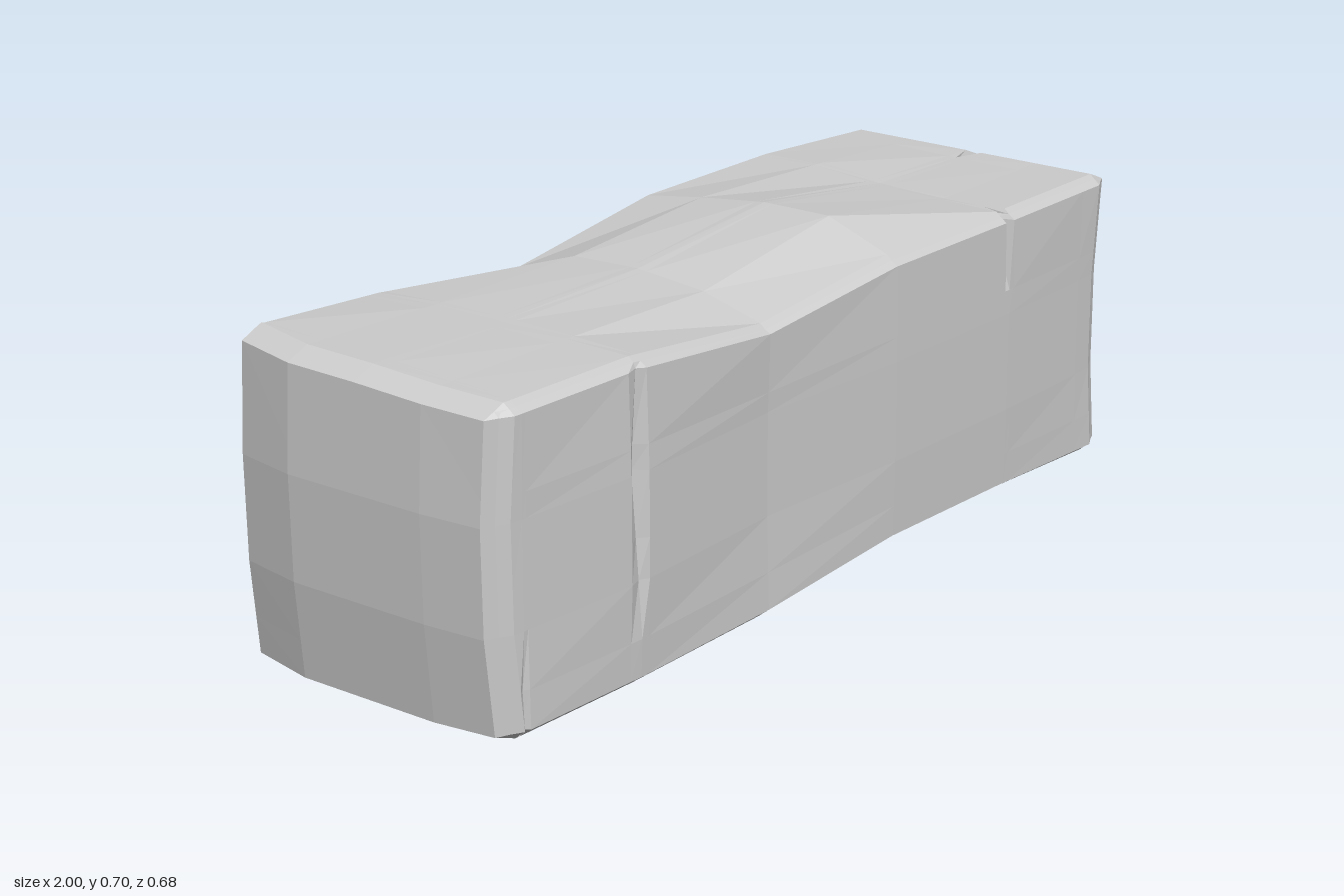
import * as THREE from 'three';

// Lattice lines of the block; thin extra lines carry the cracks
const LINES = [
  [-1, -0.95, -0.91, -0.9, -0.63, -0.6, -0.58, -0.2, 0.2, 0.585, 0.6, 0.615, 0.88, 0.95, 1],
  [0, 0.02, 0.1, 0.22, 0.3, 0.43, 0.48, 0.625, 0.645],
  [-0.325, -0.3, -0.16, -0.02, 0, 0.02, 0.16, 0.3, 0.325],
];
const CHAMFER = [0.05, 0.02, 0.028];

// Piecewise linear profile through [position, value] pairs
function profile(pairs, t) {
  if (t <= pairs[0][0]) return pairs[0][1];
  for (let i = 1; i < pairs.length; i++) {
    const [a, u] = pairs[i - 1], [b, v] = pairs[i];
    if (t <= b) return u + (v - u) * (t - a) / (b - a);
  }
  return pairs[pairs.length - 1][1];
}
const STATIONS = [-0.95, -0.6, -0.2, 0.2, 0.6, 0.95];
const along = (values, x) => profile(STATIONS.map((s, i) => [s, values[i]]), x);

// Height offset of top and bottom, blended between back, centre and front rows
function topOffset(x, z) {
  return profile([
    [-0.3, along([0.022, 0, -0.045, 0.015, 0.018, 0], x)],
    [-0.16, along([0.015, 0.005, 0.005, 0.035, 0.02, 0], x)],
    [0, along([0.012, 0.005, 0.01, 0.053, 0.005, 0], x)],
    [0.16, along([0.005, 0.003, -0.005, 0.053, 0, 0], x)],
    [0.3, along([0, 0, -0.042, 0, 0, 0], x)],
  ], z);
}
function bottomOffset(x, z) {
  return profile([
    [-0.3, along([0.01, 0.01, 0.01, 0.03, 0.008, 0.012], x)],
    [-0.16, along([0.005, 0.005, 0.005, 0.03, 0, 0.015], x)],
    [0.16, along([0.005, 0.005, 0.005, 0.03, 0, 0.04], x)],
    [0.3, along([0.01, 0.01, 0.01, 0.045, 0.04, 0.025], x)],
  ], z);
}

// Turns a lattice point into a point of the worn stone
function stonePoint(index) {
  const base = index.map((n, a) => LINES[a][n]);
  const p = base.slice();
  const ends = index.map((n, a) => (n === 0 ? -1 : n === LINES[a].length - 1 ? 1 : 0));
  const [x, y, z] = base;

  // Chamfered edges and corners
  const count = ends.filter((e) => e !== 0).length;
  if (count > 1) {
    const cut = count === 2 ? 0.5 : 2 / 3;
    ends.forEach((e, a) => { p[a] -= e * CHAMFER[a] * cut; });
  }

  // Wavy top and underside
  p[1] += topOffset(x, z) * Math.max(0, (y - 0.43) / 0.215);
  p[1] += bottomOffset(x, z) * Math.max(0, (0.22 - y) / 0.22);

  // Swollen front and back
  const belly = profile([[0, 0], [0.22, 1], [0.43, 1], [0.645, 0]], y);
  if (z >= 0.3) p[2] += along([-0.008, 0.012, -0.01, 0.006, 0.006, -0.006], x) * (0.4 + 0.6 * belly);
  if (z <= -0.3) p[2] -= along([0, 0.018, 0.018, 0, 0, 0], x) * (0.3 + 0.7 * belly);

  // Worn left and right ends
  if (x <= -0.95) {
    p[0] += profile([[0, 0.025], [0.22, 0.004], [0.43, 0], [0.645, 0.012]], y);
    p[0] += profile([[-0.325, 0.03], [-0.16, 0], [0.16, 0], [0.325, 0.012]], z);
  }
  if (x >= 0.95) p[0] -= 0.01 * belly * (Math.abs(z) > 0.29 ? 1.5 : 0.5);

  // Cracks: right end, front right, front left and a hairline by the corner
  if (z === 0 && x > 0.87 && y >= 0.3) {
    p[0] = Math.min(p[0], 1 - profile([[0.3, 0], [0.43, 0.07], [0.625, 0.1], [0.645, 0.12]], y));
  }
  if (x === 0.6 && z >= 0.3 && y >= 0.48) {
    p[2] = Math.min(p[2], 0.33 - profile([[0.48, 0], [0.625, 0.05], [0.645, 0.07]], y));
  }
  if (z > 0.31) {
    if (x === -0.6) p[2] -= profile([[0.1, 0], [0.22, 0.012], [0.43, 0.028], [0.625, 0.01], [0.645, 0]], y);
    if (x === -0.91) p[2] -= profile([[0.02, 0.014], [0.22, 0]], y);
  }
  return p;
}

function stoneGeometry() {
  const positions = [];
  for (let a = 0; a < 3; a++) {
    const b = (a + 1) % 3, c = (a + 2) % 3;
    for (const side of [0, 1]) {
      const corner = (i, j) => {
        const index = [];
        index[a] = side * (LINES[a].length - 1);
        index[b] = i;
        index[c] = j;
        return stonePoint(index);
      };
      for (let i = 0; i < LINES[b].length - 1; i++) {
        for (let j = 0; j < LINES[c].length - 1; j++) {
          const quad = [corner(i, j), corner(i + 1, j), corner(i + 1, j + 1), corner(i, j + 1)];
          if (!side) quad.reverse();
          for (const n of [0, 1, 2, 0, 2, 3]) positions.push(...quad[n]);
        }
      }
    }
  }
  const geometry = new THREE.BufferGeometry();
  geometry.setAttribute('position', new THREE.Float32BufferAttribute(positions, 3));
  geometry.computeVertexNormals();
  return geometry;
}

export function createModel() {
  const group = new THREE.Group();
  group.name = 'stoneBlock';
  const material = new THREE.MeshStandardMaterial({ color: 0xcccccc, flatShading: true });
  const stone = new THREE.Mesh(stoneGeometry(), material);
  stone.name = 'crackedStone';
  group.add(stone);
  return group;
}
